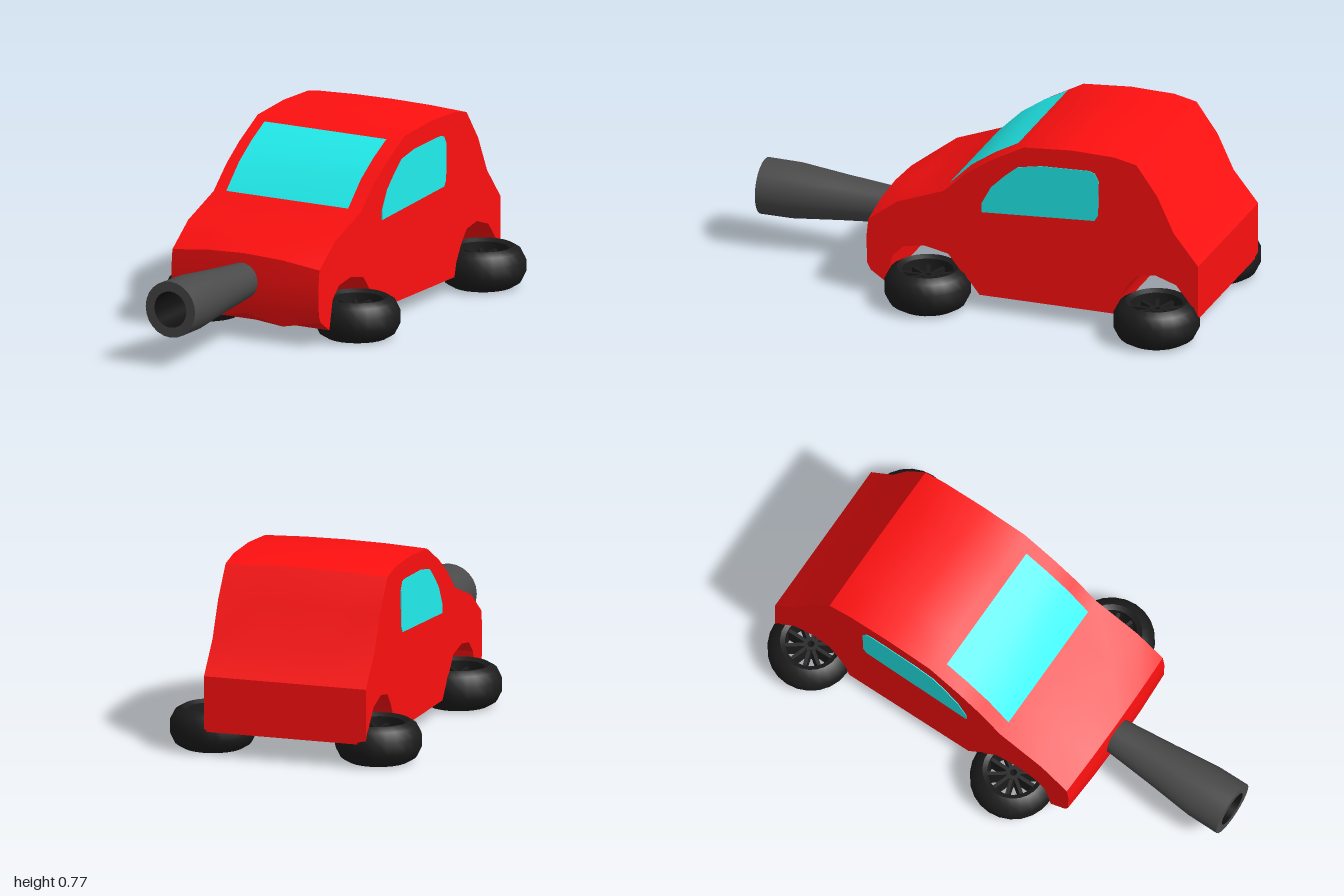
import * as THREE from 'three';
import { toCreasedNormals } from 'three/addons/utils/BufferGeometryUtils.js';

const mat = (color, side = THREE.FrontSide) => new THREE.MeshStandardMaterial({ color, side });
const RED = mat(0xff1010, THREE.DoubleSide);
const GLASS = mat(0x22eeee, THREE.DoubleSide);
const RUBBER = mat(0x1c1c1c);
const STEEL = mat(0x4a4a4a);
const BORE = mat(0x111111);

const LEFT = 0.33, RIGHT = -0.36, MID = (LEFT + RIGHT) / 2;

function add(parent, name, geometry, material) {
  const mesh = new THREE.Mesh(geometry, material);
  mesh.name = name;
  parent.add(mesh);
  return mesh;
}

// Extrudes a side outline of [z, y] points across x, starting at x0
function extrudeSide(points, x0, width, steps = 1) {
  const shape = new THREE.Shape(points.map(([z, y]) => new THREE.Vector2(-z, y)));
  return new THREE.ExtrudeGeometry(shape, { depth: width, steps, bevelEnabled: false })
    .rotateY(Math.PI / 2).translate(x0, 0, 0);
}

const lathe = (points, segments) => toCreasedNormals(
  new THREE.LatheGeometry(points.map(([r, y]) => new THREE.Vector2(r, y)), segments).toNonIndexed(), 0.6);

// Body shell: side outline with two wheel arches, slightly bowed across its width
function bodyGeometry() {
  const outline = [
    [0.435, 0.355], [0.3, 0.42], [0.1, 0.497], [0, 0.59], [-0.1, 0.66], [-0.245, 0.75],
    [-0.45, 0.768], [-0.635, 0.765], [-0.73, 0.745], [-0.82, 0.61], [-0.89, 0.46],
    [-0.995, 0.33], [-0.995, 0.1],
    [-0.97, 0.15], [-0.9, 0.235], [-0.81, 0.265], [-0.73, 0.25], [-0.69, 0.2], [-0.65, 0.13],
    [-0.635, 0.07], [-0.055, 0.065],
    [-0.02, 0.11], [0.035, 0.17], [0.08, 0.225], [0.18, 0.245], [0.27, 0.23], [0.32, 0.18],
    [0.345, 0.06], [0.425, 0.07], [0.44, 0.135], [0.443, 0.25],
  ];
  const geometry = extrudeSide(outline, RIGHT, LEFT - RIGHT, 4);
  const p = geometry.attributes.position;
  for (let i = 0; i < p.count; i++) {
    const t = Math.abs(p.getX(i) - MID) / (LEFT - MID);
    let y = p.getY(i), z = p.getZ(i);
    if (z > 0.4) {
      if (y > 0.3) y -= 0.03 * t * t;
      if (y < 0.1) y += 0.035 * Math.abs(2 * t - 1);
      z -= 0.012 * t * t;
    } else if (y > 0.7) y -= 0.01 * t * t;
    p.setXYZ(i, p.getX(i), y, z);
  }
  return toCreasedNormals(geometry, 0.5);
}

// Windscreen: a strip that follows the slope of the bonnet up to the roof
function windscreenGeometry() {
  const rows = [[-0.2, 0.727], [-0.1, 0.672], [0, 0.603], [0.1, 0.503]];
  const geometry = new THREE.PlaneGeometry(0.572, 1, 1, 3).translate(-0.015, 0, 0);
  const p = geometry.attributes.position;
  for (let i = 0; i < p.count; i++) {
    const [z, y] = rows[Math.floor(i / 2)];
    p.setXYZ(i, p.getX(i), y + 0.002, z);
  }
  geometry.computeVertexNormals();
  return geometry;
}

// Wheel lying flat: open tyre ring, hub with a hole, and radial spokes
function makeWheel(name, x, z) {
  const wheel = new THREE.Group();
  wheel.name = name;
  wheel.position.set(x, 0, z);
  add(wheel, 'tyre', lathe([
    [0.105, 0.012], [0.125, 0], [0.155, 0.018], [0.175, 0.058], [0.175, 0.108],
    [0.155, 0.148], [0.125, 0.166], [0.105, 0.154], [0.105, 0.012],
  ], 24), RUBBER);
  add(wheel, 'hub', lathe([
    [0.014, 0.035], [0.03, 0.035], [0.03, 0.131], [0.014, 0.131], [0.014, 0.035],
  ], 16), RUBBER);
  for (let i = 0; i < 10; i++) {
    const geometry = new THREE.BoxGeometry(0.085, 0.09, 0.015)
      .translate(0.066, 0.083, 0).rotateY((i + 0.5) * Math.PI / 5);
    add(wheel, 'spoke', geometry, RUBBER);
  }
  return wheel;
}

export function createModel() {
  const model = new THREE.Group();
  model.name = 'car';

  add(model, 'body', bodyGeometry(), RED);
  add(model, 'windscreen', windscreenGeometry(), GLASS);

  // Side windows
  const pane = [
    [-0.065, 0.43], [-0.065, 0.47], [-0.105, 0.545], [-0.16, 0.6], [-0.22, 0.65], [-0.32, 0.67],
    [-0.525, 0.68], [-0.55, 0.673], [-0.568, 0.64], [-0.565, 0.49], [-0.55, 0.465],
  ];
  add(model, 'leftWindow', extrudeSide(pane, LEFT - 0.003, 0.006), GLASS);
  add(model, 'rightWindow', extrudeSide(pane, RIGHT - 0.003, 0.006), GLASS);

  // Wheels
  for (const [end, z] of [['front', 0.16], ['rear', -0.824]]) {
    model.add(makeWheel(end + 'LeftWheel', 0.35, z));
    model.add(makeWheel(end + 'RightWheel', -0.355, z));
  }

  // Cannon: flared barrel with a dark bore
  const cannon = new THREE.Group();
  cannon.name = 'cannon';
  cannon.position.set(-0.024, 0.241, 0);
  add(cannon, 'barrel', lathe([
    [0.073, 0.4], [0.075, 0.45], [0.094, 0.66], [0.115, 0.86], [0.116, 1], [0.075, 1],
  ], 24).rotateX(Math.PI / 2), STEEL);
  add(cannon, 'bore', lathe([[0.075, 1], [0.075, 0.7], [0, 0.7]], 24).rotateX(Math.PI / 2), BORE);
  model.add(cannon);

  return model;
}
